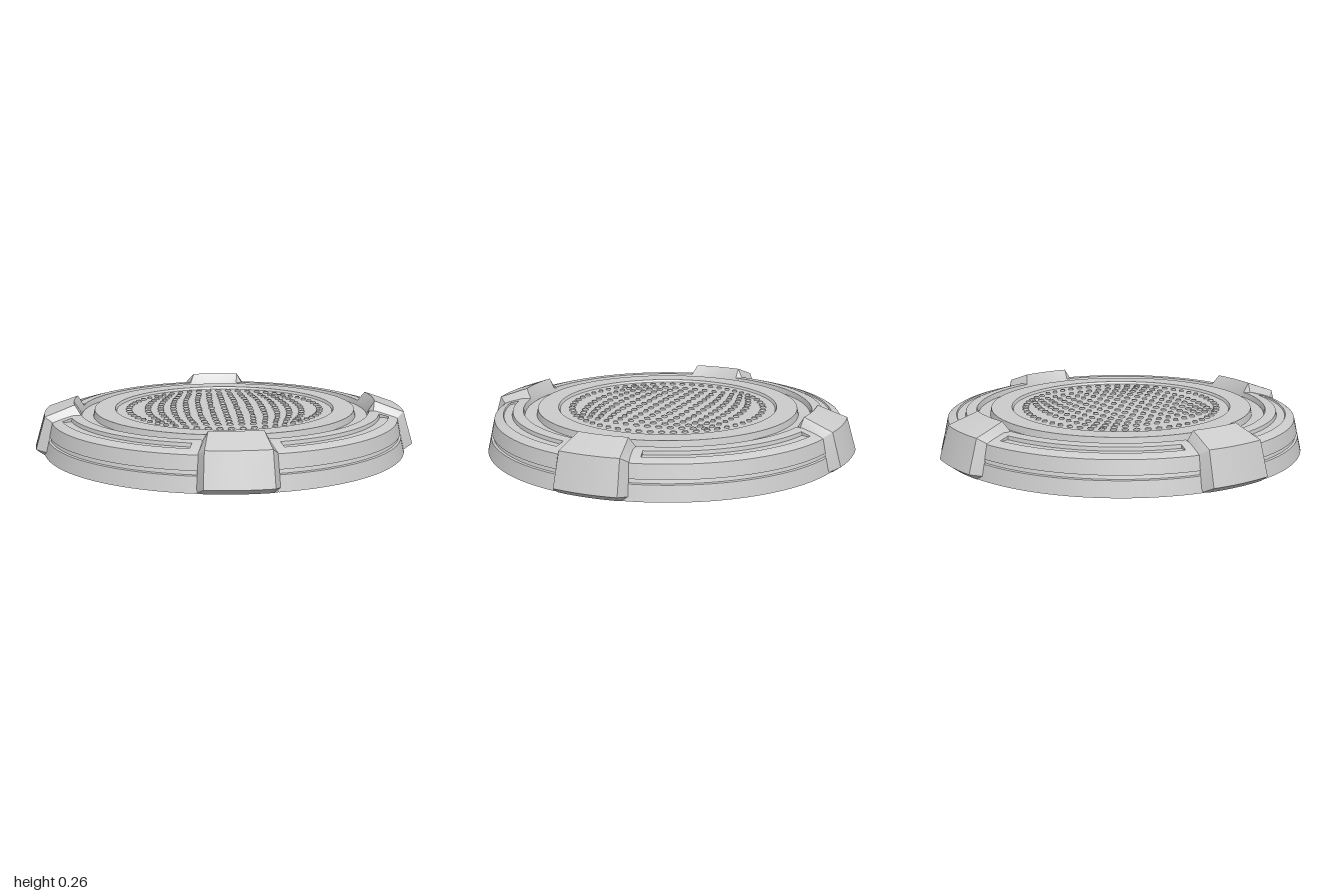
import * as THREE from 'three';
import { mergeGeometries, toCreasedNormals } from 'three/addons/utils/BufferGeometryUtils.js';

const material = new THREE.MeshStandardMaterial({ color: 0xcccccc, side: THREE.DoubleSide });
const rad = THREE.MathUtils.degToRad;

// Skin rows of [angle in degrees, profile of [radius, height]]; angle 0 is +z, 90 is +x
function loft(rows) {
  const pos = [], index = [], n = rows[0][1].length;
  for (const [a, profile] of rows)
    for (const [r, y] of profile) pos.push(r * Math.sin(rad(a)), y, r * Math.cos(rad(a)));
  for (let i = 0; i < rows.length - 1; i++)
    for (let j = 0; j < n - 1; j++) {
      const a = i * n + j, b = a + n;
      index.push(a, b, b + 1, a, b + 1, a + 1);
    }
  const g = new THREE.BufferGeometry();
  g.setAttribute('position', new THREE.Float32BufferAttribute(pos, 3));
  g.setIndex(index);
  return toCreasedNormals(g, rad(20));
}

function arc(profile, from, to, steps) {
  const rows = [];
  for (let i = 0; i <= steps; i++) rows.push([from + (to - from) * i / steps, profile]);
  return rows;
}

function add(parent, name, geometry) {
  const mesh = new THREE.Mesh(geometry, material);
  mesh.name = name;
  parent.add(mesh);
  return mesh;
}

// Outer wall with its groove, then the sloping rim down into the inner channel
const wall = [[0.955, 0], [0.937, 0.077], [0.925, 0.08], [0.92, 0.097], [0.932, 0.1], [0.916, 0.17], [0.905, 0.177]];
const slotOuter = [0.87, 0.188], slotInner = [0.82, 0.202];
const floorOuter = [0.866, 0.181], floorInner = [0.824, 0.184];
const rimInner = [[0.805, 0.206], [0.765, 0.206], [0.757, 0.18]];
const plainRim = [...wall, slotOuter, slotInner, ...rimInner];
const slottedRim = [...wall, slotOuter, floorOuter, floorInner, slotInner, ...rimInner];

// Clamp block: crown profile and the lower profile its bevelled sides run down to
const crown = [[0.96, 0], [1, 0.03], [0.95, 0.2], [0.795, 0.256], [0.765, 0.205], [0.757, 0.18]];
const skirt = [[0.948, 0], [0.95, 0.02], [0.912, 0.172], [0.79, 0.203], [0.763, 0.2], [0.757, 0.18]];

// Square grid of studs that rounds into circles towards the edge
function studGeometry() {
  const studs = [];
  const put = (x, z) => {
    const g = new THREE.CylinderGeometry(0.014, 0.017, 0.009, 4);
    g.rotateY(Math.atan2(x, z));
    g.translate(x, 0.2045, z);
    studs.push(g);
  };
  put(0, 0);
  const roundness = [0, 0, 0.03, 0.08, 0.2, 0.4, 0.6, 1];
  for (let k = 1; k <= 7; k++) {
    const d = k === 7 ? 0.508 : 0.068 * k;
    for (let side = 0; side < 4; side++)
      for (let i = -k; i < k; i++) {
        const t = i / k, a = t * Math.PI / 4, b = roundness[k];
        const u = d * (t * (1 - b) + Math.sin(a) * b);
        const v = d * (1 - b + Math.cos(a) * b);
        const c = Math.round(Math.cos(side * Math.PI / 2)), s = Math.round(Math.sin(side * Math.PI / 2));
        put(u * c + v * s, v * c - u * s);
      }
  }
  return mergeGeometries(studs);
}

export function createModel() {
  const group = new THREE.Group();
  group.name = 'roundPlatform';

  // Channel floor, raised deck ring and sunken centre
  const deck = [[0.757, 0.18], [0.695, 0.18], [0.688, 0.213], [0.58, 0.213], [0.572, 0.2]];
  add(group, 'deckRing', loft(arc(deck, 0, 360, 128)));
  const centre = add(group, 'centreDisc', new THREE.CircleGeometry(0.572, 128).rotateX(-Math.PI / 2));
  centre.position.y = 0.2;
  add(group, 'studs', studGeometry());

  // Rim sector with a slot, closed at both slot ends
  const rim = mergeGeometries([
    loft(arc(plainRim, 11, 14.5, 2)),
    loft(arc(slottedRim, 14.5, 75.5, 28)),
    loft(arc(plainRim, 75.5, 79, 2)),
  ]);
  const slotEnd = new THREE.ShapeGeometry(new THREE.Shape(
    [slotOuter, slotInner, floorInner, floorOuter].map(([r, y]) => new THREE.Vector2(r, y))));

  const block = loft([[-11.6, skirt], ...arc(crown, -9.4, 9.4, 8), [11.6, skirt]]);

  for (let i = 0; i < 4; i++) {
    const quarter = new THREE.Group();
    quarter.name = 'quarter' + (i + 1);
    quarter.rotation.y = i * Math.PI / 2;
    add(quarter, 'rimSector', rim);
    for (const a of [14.5, 75.5]) add(quarter, 'slotEnd', slotEnd).rotation.y = rad(a - 90);
    add(quarter, 'clampBlock', block);
    group.add(quarter);
  }
  return group;
}
